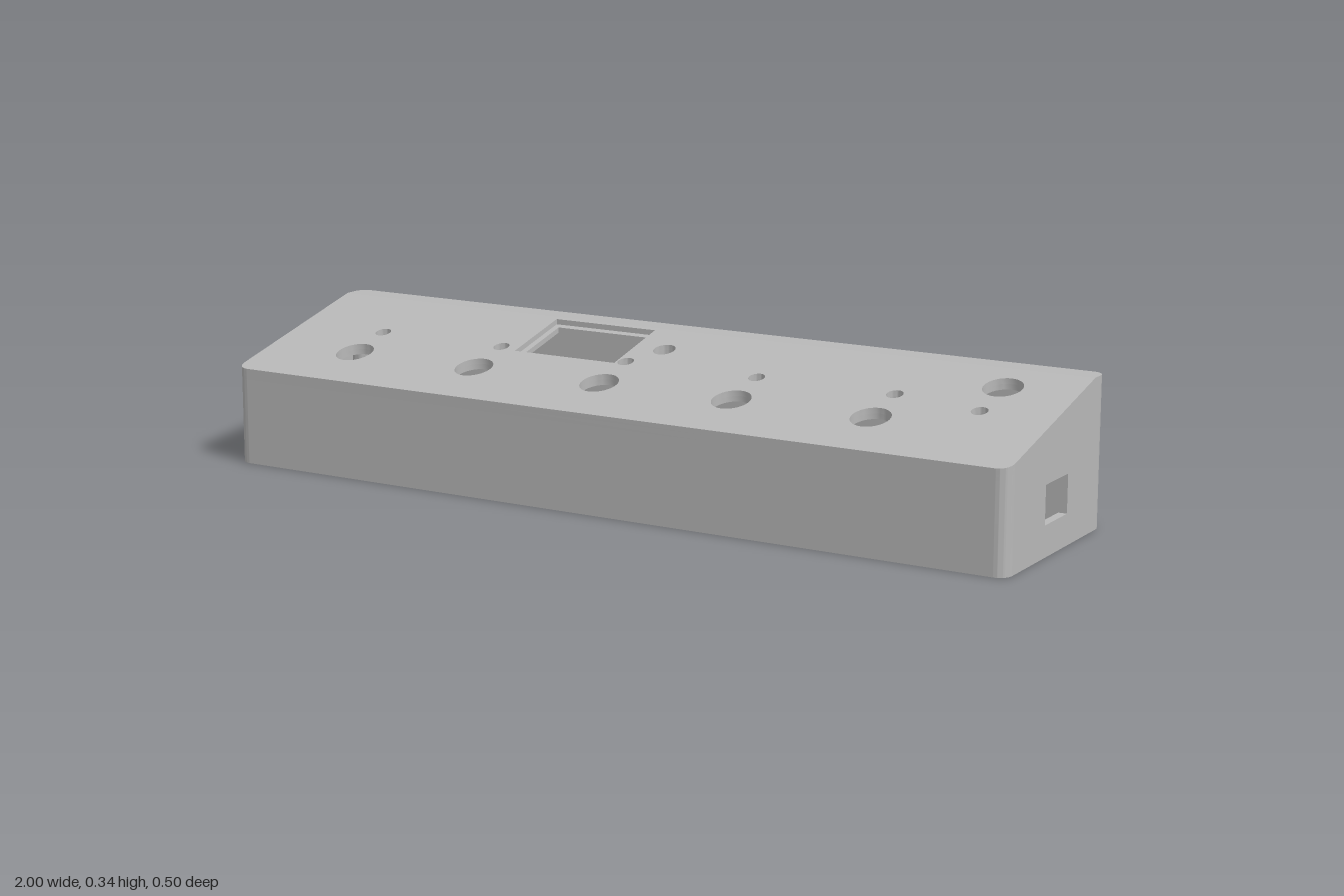
import * as THREE from 'three';
import { toCreasedNormals } from 'three/addons/utils/BufferGeometryUtils.js';

const W = 1, D = 0.25, R = 0.03, T = 0.02;        // half width, half depth, corner radius, wall
const ROOF = 0.025, KINK = -0.19, BACK_Y = 0.343, FRONT_Y = 0.23;

// Height of the outer top surface at depth z
const roofY = (z) => z <= KINK ? BACK_Y : BACK_Y + (FRONT_Y - BACK_Y) * (z - KINK) / (D - KINK);
const under = (z) => roofY(z) - ROOF;
const middle = (z) => roofY(z) - ROOF / 2;

const circle = (x, y, r, Kind = THREE.Path) => {
  const p = new Kind();
  p.absarc(x, y, r, 0, Math.PI * 2, false);
  return p;
};
const poly = (points, Kind = THREE.Shape) => new Kind(points.map(([x, y]) => new THREE.Vector2(x, y)));
const rect = (x0, y0, x1, y1, Kind = THREE.Shape) => poly([[x0, y0], [x1, y0], [x1, y1], [x0, y1]], Kind);
const extrude = (shape, depth) => new THREE.ExtrudeGeometry(shape, { depth, bevelEnabled: false, curveSegments: 16 });

// Upright prism from a plan outline (x, -z), its ends following two height rules
function prism(shape, bottom, top) {
  const g = extrude(shape, 1).rotateX(-Math.PI / 2);
  const p = g.attributes.position;
  for (let i = 0; i < p.count; i++) {
    const z = p.getZ(i);
    p.setY(i, p.getY(i) > 0.5 ? top(z) : bottom(z));
  }
  return toCreasedNormals(g, 0.5);
}

export function createModel() {
  const group = new THREE.Group();
  group.name = 'slopedEnclosure';
  const grey = new THREE.MeshStandardMaterial({ color: 0xb8b8b8 });
  grey.name = 'grey plastic';
  const add = (name, geometry, x = 0, y = 0, z = 0) => {
    const mesh = new THREE.Mesh(geometry, grey);
    mesh.name = name;
    mesh.position.set(x, y, z);
    group.add(mesh);
  };
  const floor = () => 0;

  // Front wall
  add('frontWall', prism(rect(-W + R, -D, W - R, -D + T), floor, under));

  // Back wall with a slot and a round socket hole
  const back = rect(-W + R, 0, W - R, BACK_Y - ROOF);
  back.holes.push(rect(-0.765, 0.033, -0.68, 0.07, THREE.Path), circle(-0.865, 0.098, 0.031));
  add('backWall', toCreasedNormals(extrude(back, T), 0.5), 0, 0, -D);

  // Side walls, one with a rectangular opening
  for (const side of [-1, 1]) {
    const e = D - R;
    const shape = poly([[-e, 0], [e, 0], [e, under(-e)], [-KINK, under(KINK)], [-e, under(e)]]);
    if (side > 0) shape.holes.push(rect(-0.059, 0.071, 0.057, 0.159, THREE.Path));
    add(side > 0 ? 'leftWall' : 'rightWall', toCreasedNormals(extrude(shape, T).rotateY(Math.PI / 2), 0.5),
      side > 0 ? W - T : -W);
  }

  // Rounded corners and hollow screw posts
  for (let k = 0; k < 4; k++) {
    const a = k * Math.PI / 2;
    const sx = Math.sign(Math.cos(a + Math.PI / 4)), sy = Math.sign(Math.sin(a + Math.PI / 4));
    const cx = sx * (W - R), cy = sy * (D - R);
    const ring = new THREE.Shape();
    ring.absarc(cx, cy, R, a, a + Math.PI / 2, false);
    ring.absarc(cx, cy, R - T, a + Math.PI / 2, a, true);
    ring.closePath();
    add('wallCorner', prism(ring, floor, under));

    const post = circle(sx * 0.961, sy * 0.206, 0.033, THREE.Shape);
    post.holes.push(circle(sx * 0.961, sy * 0.206, 0.012));
    add('screwPost', prism(post, floor, middle));
  }

  // Flat strip of the roof along the back edge
  const strip = new THREE.Shape();
  strip.moveTo(-W, -KINK);
  strip.lineTo(W, -KINK);
  strip.absarc(W - R, D - R, R, 0, Math.PI / 2, false);
  strip.absarc(-W + R, D - R, R, Math.PI / 2, Math.PI, false);
  strip.closePath();
  add('roofBackStrip', prism(strip, under, roofY));

  // Sloped panel in two layers, so the display window has a stepped rim
  const buttons = [0, 1, 2, 3, 4].map((i) => -0.759 + i * 0.3425);
  const panel = (x0, z0, x1, z1) => {
    const s = new THREE.Shape();
    s.moveTo(W, -KINK);
    s.lineTo(-W, -KINK);
    s.absarc(-W + R, -D + R, R, Math.PI, Math.PI * 1.5, false);
    s.absarc(W - R, -D + R, R, Math.PI * 1.5, Math.PI * 2, false);
    s.closePath();
    for (const x of buttons) s.holes.push(circle(x, -0.104, 0.045), circle(x, 0.01, 0.019));
    s.holes.push(circle(0.826, 0.098, 0.045), circle(0.826, -0.019, 0.019), circle(-0.018, 0.088, 0.026));
    s.holes.push(rect(x0, -z1, x1, -z0, THREE.Path));
    return s;
  };
  add('slopedPanelUpper', prism(panel(-0.37, -0.177, -0.097, 0.003), middle, roofY));
  add('slopedPanelLower', prism(panel(-0.355, -0.162, -0.108, -0.011), under, middle));

  // Support pillars hanging between the button holes
  [0.118, 0.16, 0.157, 0.118].forEach((z, i) => {
    const x = (buttons[i] + buttons[i + 1]) / 2;
    const depth = [0.118, 0.157, 0.16, 0.118][i];
    add('supportPillar', prism(circle(x, -depth, 0.034, THREE.Shape), floor, middle));
  });

  return group;
}
